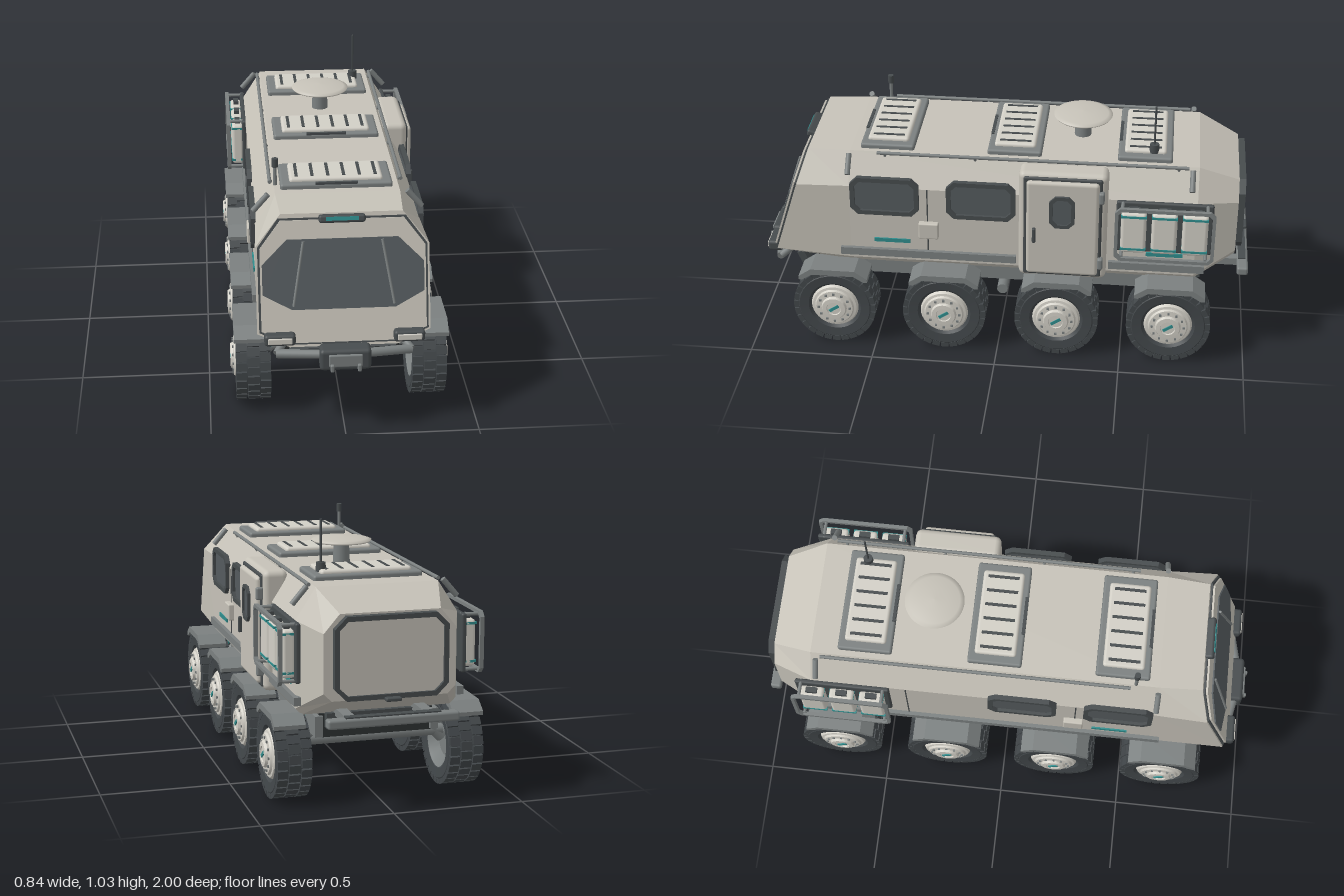
import * as THREE from 'three';
import { mergeGeometries, toCreasedNormals } from 'three/addons/utils/BufferGeometryUtils.js';
import { RoundedBoxGeometry } from 'three/addons/geometries/RoundedBoxGeometry.js';

const mat = (name, color) => Object.assign(new THREE.MeshStandardMaterial({ color }), { name });
const hullPaint = mat('hull paint', 0xc6c2b8), lightPaint = mat('light paint', 0xd2cfc6);
const trim = mat('grey trim', 0x7b8080), dark = mat('dark frame', 0x474c4e);
const glass = mat('glass', 0x555b5e), rubber = mat('rubber', 0x42474a);
const belly = mat('underside', 0x2e3233), teal = mat('teal', 0x2f8c8c);

function add(parent, name, geo, material, x = 0, y = 0, z = 0) {
  const m = new THREE.Mesh(geo, material);
  m.name = name;
  m.position.set(x, y, z);
  parent.add(m);
  return m;
}
const box = (p, n, m, w, h, d, x, y, z) => add(p, n, new THREE.BoxGeometry(w, h, d), m, x, y, z);
const soft = (p, n, m, w, h, d, x, y, z, r = 0.01) => add(p, n, new RoundedBoxGeometry(w, h, d, 2, r), m, x, y, z);
// straight round bar between two points
function rod(p, n, m, a, b, r) {
  const A = new THREE.Vector3(...a), B = new THREE.Vector3(...b), dir = B.clone().sub(A);
  const mesh = add(p, n, new THREE.CylinderGeometry(r, r, dir.length(), 14), m);
  mesh.position.copy(A).add(B).multiplyScalar(0.5);
  mesh.quaternion.setFromUnitVectors(new THREE.Vector3(0, 1, 0), dir.normalize());
  return mesh;
}
// rectangle with cut corners
const octagon = (w, h, c) => [[w - c, -h], [w, c - h], [w, h - c], [w - c, h], [c - w, h], [-w, h - c], [-w, c - h], [c - w, -h]];
const shapeOf = (pts) => new THREE.Shape(pts.map((q) => new THREE.Vector2(...q)));
function plate(pts, depth, hole) {
  const s = shapeOf(pts);
  if (hole) s.holes.push(shapeOf(hole));
  return new THREE.ExtrudeGeometry(s, { depth, bevelEnabled: false });
}
const panel = (w, h, c, depth, rim) =>
  plate(octagon(w / 2, h / 2, c), depth, rim && octagon(w / 2 - rim, h / 2 - rim, c * 0.7));

// hull lofted through eight-sided sections, rear to front
const slope = (y) => 0.92 - (y - 0.335) * 0.316;
function hullGeometry() {
  const ring = (z, xt, yt, xs, ys, yl, xb, yb) =>
    [[xb, yb], [xs, yl], [xs, ys], [xt, yt], [-xt, yt], [-xs, ys], [-xs, yl], [-xb, yb]]
      .map(([x, y]) => [x, y, z === null ? slope(y) : z]);
  const rings = [
    ring(-0.94, 0.19, 0.74, 0.25, 0.67, 0.45, 0.22, 0.42),
    ring(-0.78, 0.235, 0.81, 0.312, 0.69, 0.36, 0.29, 0.335),
    ring(0.6, 0.235, 0.81, 0.312, 0.69, 0.36, 0.29, 0.335),
    ring(null, 0.225, 0.805, 0.32, 0.69, 0.385, 0.2, 0.335)];
  const pos = [], tri = (...v) => v.forEach((q) => pos.push(...q));
  for (let s = 0; s < 3; s++) for (let i = 0; i < 8; i++) {
    const j = (i + 1) % 8, a = rings[s], b = rings[s + 1];
    tri(a[i], a[j], b[j], a[i], b[j], b[i]);
  }
  for (let i = 1; i < 7; i++) {
    tri(rings[3][0], rings[3][i], rings[3][i + 1]);
    tri(rings[0][0], rings[0][i + 1], rings[0][i]);
  }
  const g = new THREE.BufferGeometry();
  g.setAttribute('position', new THREE.Float32BufferAttribute(pos, 3));
  g.computeVertexNormals();
  return g;
}

const lathe = (pts, seg = 36) => {
  const g = new THREE.LatheGeometry(pts.map((q) => new THREE.Vector2(...q)), seg);
  return toCreasedNormals(g, 0.5).rotateZ(-Math.PI / 2);
};
const tyreGeo = lathe([[0.1, -0.055], [0.108, -0.062], [0.145, -0.066], [0.158, -0.056], [0.158, 0.056], [0.145, 0.066], [0.108, 0.062], [0.095, 0.05]]);
const hubGeo = lathe([[0.098, 0.05], [0.09, 0.062], [0.08, 0.064], [0.075, 0.072], [0.052, 0.074], [0.047, 0.084], [0.03, 0.085], [0.028, 0.08], [0, 0.08]]);
const dishGeo = lathe([[0, -0.03], [0.06, -0.03], [0.09, -0.05], [0.104, -0.062]]);
const blocks = [];
for (let row = -1; row <= 1; row++) for (let i = 0; i < 28; i++) {
  blocks.push(new THREE.BoxGeometry(row ? 0.039 : 0.044, 0.02, 0.031).translate(row * 0.0455, 0.158, 0)
    .rotateX((i + (row ? 0 : 0.5)) / 28 * Math.PI * 2));
}
const treadGeo = mergeGeometries(blocks);
const fenderGeo = plate([[-0.14, 0.295], [-0.125, 0.295], [-0.085, 0.32], [0.085, 0.32], [0.125, 0.295], [0.14, 0.295], [0.14, 0.31], [0.09, 0.345], [-0.09, 0.345], [-0.14, 0.31]], 0.12)
  .rotateY(-Math.PI / 2).translate(0.06, 0, 0);

function wheel(parent, s, z) {
  const g = new THREE.Group();
  g.name = 'wheel';
  g.position.set(s * 0.333, 0.168, z);
  g.rotation.y = s > 0 ? 0 : Math.PI;
  add(g, 'tyre', tyreGeo, rubber);
  add(g, 'tread', treadGeo, rubber);
  add(g, 'hub', hubGeo, lightPaint);
  add(g, 'rimInside', dishGeo, trim);
  box(g, 'hubMark', teal, 0.006, 0.012, 0.044, 0.082, 0, 0).rotation.x = 0.6;
  for (let i = 0; i < 12; i++) {
    const a = i / 12 * Math.PI * 2;
    box(g, 'bolt', trim, 0.008, 0.009, 0.009, 0.074, Math.cos(a) * 0.064, Math.sin(a) * 0.064);
  }
  parent.add(g);
  // fender and suspension
  add(parent, 'fender', fenderGeo, trim, s * 0.345, 0, z);
  rod(parent, 'suspensionArm', trim, [s * 0.18, 0.3, z], [s * 0.29, 0.18, z], 0.022);
  rod(parent, 'damper', teal, [s * 0.215, 0.32, z + 0.05], [s * 0.275, 0.22, z + 0.03], 0.013);
}

function sideParts(root, s) {
  const g = new THREE.Group();
  g.name = s > 0 ? 'leftSide' : 'rightSide';
  root.add(g);
  const on = (n, geo, m, x, y, z) => { add(g, n, geo, m, s * x, y, z).rotation.y = s * Math.PI / 2; };
  for (const z of [0.665, 0.215, -0.24, -0.69]) wheel(g, s, z);
  for (const z of [0.455, 0.07]) {
    on('windowFrame', panel(0.275, 0.165, 0.03, 0.02, 0.018), dark, 0.308, 0.655, z);
    on('windowGlass', panel(0.25, 0.14, 0.024, 0.008), glass, 0.308, 0.655, z);
  }
  // skirt rails, strips and seams
  const rails = s > 0 ? [[0.64, -0.07], [-0.44, -0.82]] : [[0.64, -0.82]];
  for (const [a, b] of rails) box(g, 'skirtRail', trim, 0.026, 0.032, a - b, s * 0.315, 0.395, (a + b) / 2);
  for (const z of [0.43, -0.66]) box(g, 'tealStrip', teal, 0.008, 0.016, 0.145, s * 0.314, 0.45, z);
  for (const z of [0.285, -0.4]) box(g, 'panelSeam', dark, 0.004, 0.28, 0.005, s * 0.312, 0.55, z);
  soft(g, 'serviceHatch', hullPaint, 0.03, 0.07, 0.08, s * 0.32, 0.51, 0.28, 0.006);
  // cargo rack with three canisters
  soft(g, 'rackBack', dark, 0.02, 0.225, 0.38, s * 0.318, 0.58, -0.655, 0.008);
  for (let i = 0; i < 3; i++) {
    const z = -0.535 - i * 0.12;
    soft(g, 'canister', lightPaint, 0.05, 0.18, 0.1, s * 0.347, 0.575, z, 0.014);
    for (const y of [0.505, 0.65]) box(g, 'canisterBand', teal, 0.054, 0.009, 0.1, s * 0.347, y, z);
    box(g, 'canisterHandle', dark, 0.022, 0.014, 0.045, s * 0.347, 0.672, z);
  }
  on('rackHoop', panel(0.39, 0.235, 0.02, 0.016, 0.013), trim, 0.378, 0.58, -0.657);
  for (const z of [-0.49, -0.82]) for (const y of [0.475, 0.685])
    rod(g, 'rackStrut', trim, [s * 0.31, y, z], [s * 0.385, y, z], 0.007);
  // roof rail and corner handles
  rod(g, 'roofRail', trim, [s * 0.25, 0.812, -0.74], [s * 0.25, 0.812, 0.49], 0.007);
  for (const z of [-0.7, -0.3, 0.1, 0.46]) rod(g, 'railFoot', trim, [s * 0.24, 0.795, z], [s * 0.25, 0.812, z], 0.006);
  for (const z of [-0.755, 0.6]) rod(g, 'cornerHandle', trim, [s * 0.262, 0.81, z], [s * 0.318, 0.745, z], 0.011);
  // headlight and bumper tubes
  soft(g, 'headlight', dark, 0.115, 0.044, 0.06, s * 0.238, 0.376, 0.92, 0.012);
  soft(g, 'headlightLens', lightPaint, 0.09, 0.024, 0.01, s * 0.238, 0.376, 0.949, 0.004);
  rod(g, 'bumperTube', trim, [s * 0.08, 0.315, 0.945], [s * 0.25, 0.305, 0.91], 0.017);
  rod(g, 'bumperStay', trim, [s * 0.25, 0.305, 0.91], [s * 0.2, 0.35, 0.84], 0.015);
  // wiper
}

function sideDoor(root) {
  const g = new THREE.Group();
  g.name = 'sideDoor';
  root.add(g);
  soft(g, 'doorFrame', hullPaint, 0.1, 0.475, 0.35, 0.295, 0.572, -0.256, 0.025);
  soft(g, 'doorSeal', dark, 0.02, 0.445, 0.31, 0.341, 0.572, -0.256, 0.009);
  soft(g, 'doorLeaf', hullPaint, 0.03, 0.42, 0.285, 0.352, 0.572, -0.256, 0.014);
  const put = (n, geo, m, x) => { add(g, n, geo, m, x, 0.655, -0.255).rotation.y = Math.PI / 2; };
  put('doorWindowFrame', panel(0.1, 0.14, 0.024, 0.014, 0.014), dark, 0.364);
  put('doorWindow', panel(0.076, 0.116, 0.018, 0.006), glass, 0.364);
  soft(g, 'doorHandle', dark, 0.018, 0.065, 0.014, 0.372, 0.545, -0.145, 0.005);
  for (const y of [0.42, 0.72]) soft(g, 'hinge', trim, 0.03, 0.05, 0.022, 0.355, y, -0.408, 0.008);
}

function frontFace(root) {
  const g = new THREE.Group(), t = Math.atan(0.316), v = (y) => (y - 0.335) / Math.cos(t);
  g.name = 'frontFace';
  g.position.set(0, 0.335, 0.92);
  g.rotation.x = -t;
  root.add(g);
  const sym = (half) => [...half, ...half.slice().reverse().map(([x, y]) => [-x, y])].map(([x, y]) => [x, v(y)]);
  const edge = [[0.2, 0.345], [0.312, 0.39], [0.312, 0.69], [0.235, 0.79]];
  add(g, 'faceTrim', plate(sym(edge), 0.008), dark);
  add(g, 'facePlate', plate(sym(edge.map(([x, y]) => [x - 0.008, 0.57 + (y - 0.57) * 0.97])), 0.016), hullPaint);
  add(g, 'windshield', plate(sym([[0.19, 0.47], [0.297, 0.525], [0.297, 0.63], [0.205, 0.717]]), 0.022), glass);
  for (const s of [-1, 1]) rod(g, 'wiper', trim, [s * 0.185, v(0.483), 0.026], [s * 0.145, v(0.71), 0.026], 0.005);
  soft(g, 'lampHousing', dark, 0.172, 0.03, 0.04, 0, v(0.786), 0.012, 0.01);
  box(g, 'lampStrip', teal, 0.12, 0.014, 0.006, 0, v(0.787), 0.031);
}

function roofParts(root) {
  const g = new THREE.Group();
  g.name = 'roof';
  root.add(g);
  for (const z of [-0.567, -0.052, 0.455]) {
    soft(g, 'hatchBase', trim, 0.425, 0.03, 0.215, 0, 0.815, z, 0.01);
    soft(g, 'hatchCover', lightPaint, 0.355, 0.034, 0.165, 0, 0.827, z, 0.012);
    for (let i = 0; i < 6; i++) box(g, 'ventSlot', dark, 0.012, 0.006, 0.125, -0.15 + i * 0.06, 0.843, z);
    box(g, 'hatchLatch', dark, 0.16, 0.012, 0.012, 0, 0.828, z + 0.1);
  }
  add(g, 'dishMast', new THREE.CylinderGeometry(0.03, 0.034, 0.08, 20), trim, 0, 0.845, -0.31);
  const dish = [[0, 0.88], [0.06, 0.884], [0.113, 0.893], [0.118, 0.9], [0.1, 0.906], [0.05, 0.913], [0, 0.915]];
  add(g, 'dish', new THREE.LatheGeometry(dish.map((q) => new THREE.Vector2(...q)), 40), hullPaint, 0, 0, -0.31);
  add(g, 'antennaBase', new THREE.CylinderGeometry(0.018, 0.02, 0.035, 16), dark, 0.165, 0.85, -0.6);
  rod(g, 'antenna', dark, [0.165, 0.86, -0.6], [0.165, 1.03, -0.6], 0.004);
  rod(g, 'sensorPost', trim, [-0.23, 0.8, 0.51], [-0.23, 0.885, 0.51], 0.007);
  add(g, 'sensorHead', new THREE.CylinderGeometry(0.012, 0.012, 0.034, 14), dark, -0.23, 0.9, 0.51);
}

export function createModel() {
  const root = new THREE.Group();
  root.name = 'rover';
  add(root, 'hull', hullGeometry(), hullPaint);
  // chassis
  box(root, 'bellyPlate', belly, 0.44, 0.09, 1.55, 0, 0.285, 0);
  for (const s of [-1, 1]) box(root, 'chassisRail', trim, 0.03, 0.08, 1.42, s * 0.225, 0.285, -0.08);
  const nose = box(root, 'skidPlate', dark, 0.4, 0.055, 0.03, 0, 0.27, 0.83);
  nose.rotation.x = 0.4;
  for (const z of [0.665, 0.215, -0.24, -0.69]) rod(root, 'axle', trim, [-0.29, 0.212, z], [0.29, 0.212, z], 0.022);
  for (const s of [-1, 1]) rod(root, 'stepPeg', trim, [s * 0.2, 0.215, -0.01], [s * 0.27, 0.215, -0.01], 0.022);
  frontFace(root);
  for (const s of [-1, 1]) sideParts(root, s);
  sideDoor(root);
  roofParts(root);
  // winch block
  soft(root, 'winch', dark, 0.19, 0.085, 0.07, 0, 0.303, 0.945, 0.015);
  soft(root, 'winchCover', trim, 0.125, 0.05, 0.02, 0, 0.305, 0.978, 0.006);
  for (const s of [-1, 1]) soft(root, 'towHook', trim, 0.014, 0.03, 0.03, s * 0.05, 0.28, 0.985, 0.005);
  // rear hatch and bumper
  add(root, 'rearHatchFrame', panel(0.43, 0.31, 0.045, 0.03, 0.018), dark, 0, 0.578, -0.967);
  add(root, 'rearHatch', panel(0.395, 0.275, 0.035, 0.02), hullPaint, 0, 0.578, -0.958);
  soft(root, 'rearHandle', dark, 0.06, 0.014, 0.03, 0, 0.425, -0.978, 0.005);
  soft(root, 'rearBumper', trim, 0.5, 0.036, 0.045, 0, 0.348, -0.977, 0.01);
  box(root, 'rearStep', dark, 0.36, 0.008, 0.03, 0, 0.367, -0.975);
  for (const s of [-1, 1]) box(root, 'bumperBracket', trim, 0.04, 0.03, 0.24, s * 0.15, 0.345, -0.85);
  box(root, 'rearSkirt', dark, 0.4, 0.06, 0.04, 0, 0.31, -0.79);
  return root;
}
